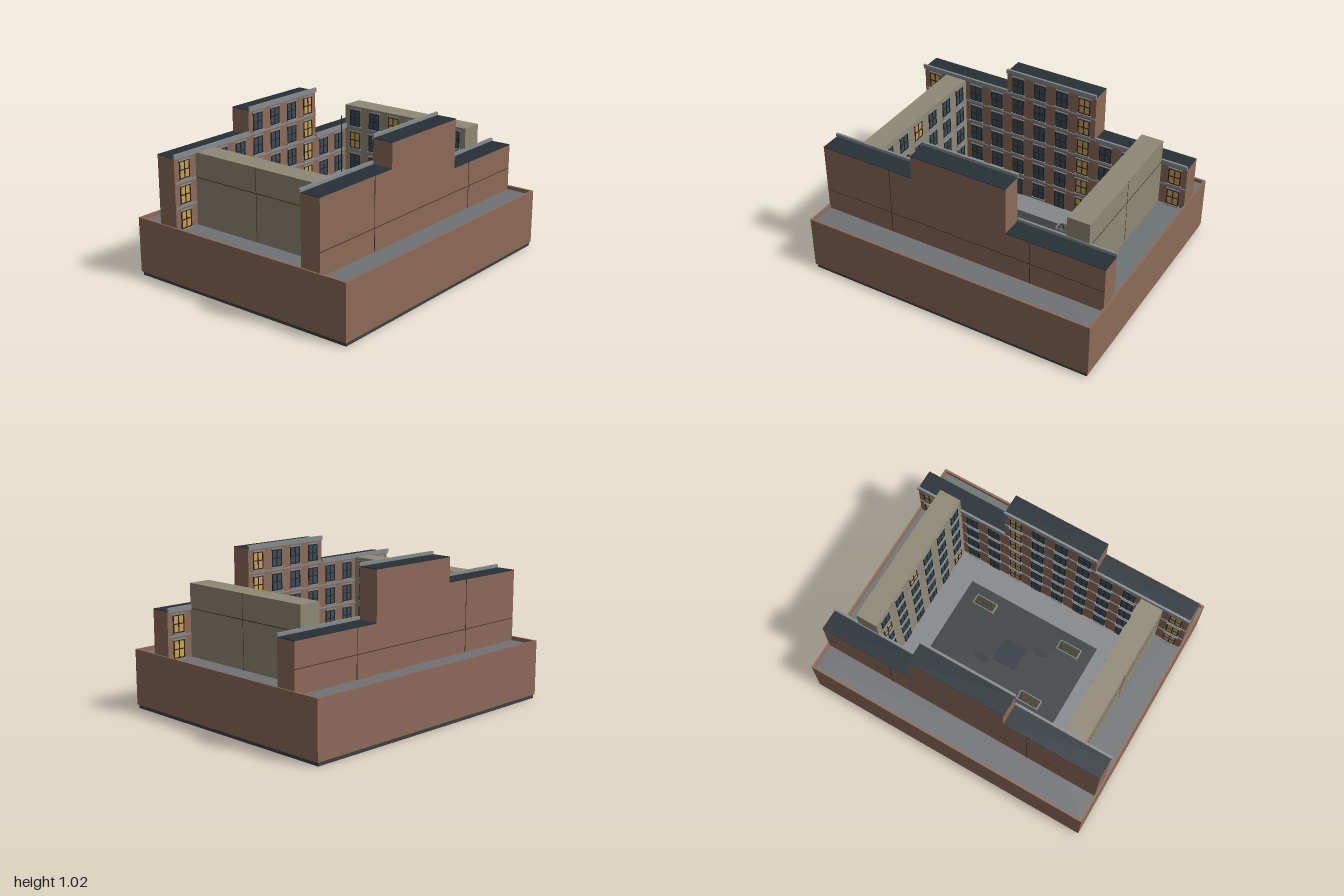
import * as THREE from 'three';

const mat = (color) => new THREE.MeshStandardMaterial({ color });
const M = {
  brick: mat(0x8c6a57), beige: mat(0x8f8875), deck: mat(0x6e7375), roof: mat(0x263036),
  plinth: mat(0x3a4042), paving: mat(0x3a3f3f), floor: mat(0x85888a), hatch: mat(0x2e3640),
  stone: mat(0x858b8e), frame: mat(0x20272a), glass: mat(0x3a4c58), lit: mat(0xcf9f48),
  soil: mat(0x42342a), leaf: mat(0x46502f), seam: mat(0x3a2e27), puddle: mat(0x31373b),
};
const BAY = 0.165, STOREY = 0.16, GROUND = 0.035, DECK = 0.365;

// Box given by its min and max corners
function box(parent, name, m, x0, x1, y0, y1, z0, z1) {
  const mesh = new THREE.Mesh(new THREE.BoxGeometry(x1 - x0, y1 - y0, z1 - z0), m);
  mesh.position.set((x0 + x1) / 2, (y0 + y1) / 2, (z0 + z1) / 2);
  mesh.name = name;
  parent.add(mesh);
  return mesh;
}

function rect(Type, x0, x1, y0, y1) {
  const s = new Type();
  s.moveTo(x0, y0);
  s.lineTo(x1, y0);
  s.lineTo(x1, y1);
  s.lineTo(x0, y1);
  s.closePath();
  return s;
}

// Horizontal rectangular ring
function ring(parent, name, m, ox, oz, ix, iz, y0, y1) {
  const s = rect(THREE.Shape, -ox, ox, -oz, oz);
  s.holes.push(rect(THREE.Path, -ix, ix, -iz, iz));
  const g = new THREE.ExtrudeGeometry(s, { depth: y1 - y0, bevelEnabled: false });
  g.rotateX(-Math.PI / 2).translate(0, y0, 0);
  const mesh = new THREE.Mesh(g, m);
  mesh.name = name;
  parent.add(mesh);
}

// Window frame with a grid of openings
function frameGeometry(w, h, cols, rows) {
  const s = rect(THREE.Shape, -w / 2, w / 2, 0, h);
  const t = 0.006, pw = (w - t * (cols + 1)) / cols, ph = (h - t * (rows + 1)) / rows;
  for (let c = 0; c < cols; c++) for (let r = 0; r < rows; r++) {
    const x = -w / 2 + t + c * (pw + t), y = t + r * (ph + t);
    s.holes.push(rect(THREE.Path, x, x + pw, y, y + ph));
  }
  return new THREE.ExtrudeGeometry(s, { depth: 0.006, bevelEnabled: false });
}
const WINDOW = frameGeometry(0.085, 0.115, 2, 2);
const DOOR = frameGeometry(0.075, 0.13, 2, 1);

// Window or door on a wall facing local +z
function opening(wall, x, y, isDoor, isLit) {
  const g = new THREE.Group();
  g.name = isDoor ? 'door' : 'window';
  g.position.set(x, y + (isDoor ? 0 : 0.018), 0);
  const w = isDoor ? 0.035 : 0.04, h = isDoor ? 0.13 : 0.115;
  const frame = new THREE.Mesh(isDoor ? DOOR : WINDOW, M.frame);
  frame.name = 'frame';
  g.add(frame);
  box(g, 'pane', isLit ? M.lit : M.glass, -w, w, 0.003, h - 0.003, 0, 0.002);
  if (!isDoor) box(g, 'sill', M.stone, -0.05, 0.05, -0.008, 0, 0, 0.013);
  box(g, 'lintel', M.stone, -0.048, 0.048, h, h + 0.008, 0, 0.007);
  wall.add(g);
}

// Long stepped wing; side is the sign of z
function wing(side) {
  const g = new THREE.Group();
  g.name = side > 0 ? 'frontWing' : 'backWing';
  const face = new THREE.Group();
  face.name = 'courtyardFace';
  face.position.z = side * 0.5;
  if (side > 0) face.rotation.y = Math.PI;
  g.add(face);
  const zs = (a, b) => (side > 0 ? [a, b] : [-b, -a]);
  [5, 6, 4].forEach((storeys, k) => {
    const x0 = -0.99 + k * 0.66, x1 = x0 + 0.66, top = GROUND + storeys * STOREY;
    box(g, 'brickBlock', M.brick, x0, x1, GROUND - 0.01, top, ...zs(0.5, 0.64));
    box(g, 'flatRoof', M.roof, x0, x1, top, top + 0.004, ...zs(0.5, 0.64));
    box(g, 'cornice', M.stone, x0 - (k ? 0 : 0.005), x1, top - 0.006, top + 0.024, ...zs(0.489, 0.504));
    for (let s = 0; s < storeys; s++) {
      const y = GROUND + s * STOREY;
      if (s) box(g, 'storeyBand', M.stone, x0, x1, y - 0.005, y + 0.004, ...zs(0.495, 0.5));
      for (let b = 0; b < 4; b++) {
        const i = k * 4 + b, x = (i - 5.5) * BAY;
        const outer = i === 0 || i === 11;
        if (i === 1 || i === 10 || (outer && y < DECK - 0.02)) continue;
        opening(face, -side * x, y, s === 0 && i % 2 === 0, outer || i === 7);
      }
    }
  });
  // Joints in the blank outer wall
  box(g, 'horizontalJoint', M.seam, -0.99, 0.99, 0.513, 0.517, ...zs(0.639, 0.6415));
  box(g, 'verticalJoint', M.seam, -0.497, -0.493, DECK, 0.835, ...zs(0.639, 0.6415));
  box(g, 'verticalJoint', M.seam, 0.493, 0.497, DECK, 0.675, ...zs(0.639, 0.6415));
  return g;
}

// Rendered cross wing closing the courtyard; side is the sign of x
function crossWing(side) {
  const g = new THREE.Group();
  g.name = side > 0 ? 'leftCrossWing' : 'rightCrossWing';
  const xs = (a, b) => (side > 0 ? [a, b] : [-b, -a]);
  box(g, 'renderedBlock', M.beige, ...xs(0.66, 0.81), GROUND - 0.01, 0.835, -0.499, 0.499);
  box(g, 'horizontalJoint', M.seam, ...xs(0.809, 0.8115), 0.673, 0.677, -0.499, 0.499);
  box(g, 'verticalJoint', M.seam, ...xs(0.809, 0.811), DECK, 0.835, -0.0015, 0.0015);
  const face = new THREE.Group();
  face.name = 'courtyardFace';
  face.position.x = side * 0.66;
  face.rotation.y = -side * Math.PI / 2;
  for (let s = 0; s < 5; s++) for (let b = 0; b < 6; b++) {
    opening(face, (b - 2.5) * BAY, GROUND + s * STOREY, s === 0 && b % 3 === 1, (s * 5 + b * 3) % 11 === 4);
  }
  g.add(face);
  return g;
}

function planter(x, z) {
  const g = new THREE.Group();
  g.name = 'planter';
  g.position.set(x, GROUND, z);
  ring(g, 'planterRim', M.stone, 0.08, 0.036, 0.074, 0.03, 0, 0.035);
  box(g, 'soil', M.soil, -0.074, 0.074, 0, 0.025, -0.03, 0.03);
  for (let i = 0; i < 10; i++) {
    const shrub = new THREE.Mesh(new THREE.IcosahedronGeometry(0.009 + (i % 3) * 0.002, 0), M.leaf);
    shrub.name = 'shrub';
    shrub.position.set(-0.06 + i * 0.0133, 0.03, Math.sin(i * 2.3) * 0.017);
    g.add(shrub);
  }
  return g;
}

export function createModel() {
  const model = new THREE.Group();
  model.name = 'courtyardBlock';

  // Base: plinth, brick skirt and deck around the sunken court
  box(model, 'plinth', M.plinth, -0.99, 0.99, 0, 0.026, -0.825, 0.825);
  ring(model, 'brickSkirt', M.brick, 1, 0.832, 0.985, 0.817, 0.025, 0.39);
  ring(model, 'deck', M.deck, 0.986, 0.818, 0.7, 0.54, DECK - 0.02, DECK);

  // Court floor
  box(model, 'courtFloor', M.floor, -0.67, 0.67, 0.025, 0.032, -0.51, 0.51);
  box(model, 'paving', M.paving, -0.495, 0.495, 0.03, GROUND, -0.33, 0.33);
  box(model, 'centreHatch', M.hatch, -0.085, 0.085, 0.03, 0.039, -0.085, 0.085);
  for (const [x, z] of [[0.16, -0.115], [-0.17, 0.11]]) {
    const puddle = new THREE.Mesh(new THREE.CylinderGeometry(1, 1, 0.002, 24), M.puddle);
    puddle.name = 'puddle';
    puddle.scale.set(0.062, 1, 0.024);
    puddle.position.set(x, GROUND + 0.0005, z);
    model.add(puddle);
  }
  for (const [x, z] of [[-0.28, -0.225], [0.27, -0.28], [-0.335, 0.22], [0.325, 0.22]]) model.add(planter(x, z));

  for (const side of [1, -1]) model.add(wing(side), crossWing(side));

  // Slim vent pipe rising past the low roof
  const pipe = new THREE.Mesh(new THREE.CylinderGeometry(0.003, 0.003, 0.735, 8), M.frame);
  pipe.name = 'ventPipe';
  pipe.position.set(0.59, GROUND + 0.3675, -0.482);
  model.add(pipe);
  return model;
}
